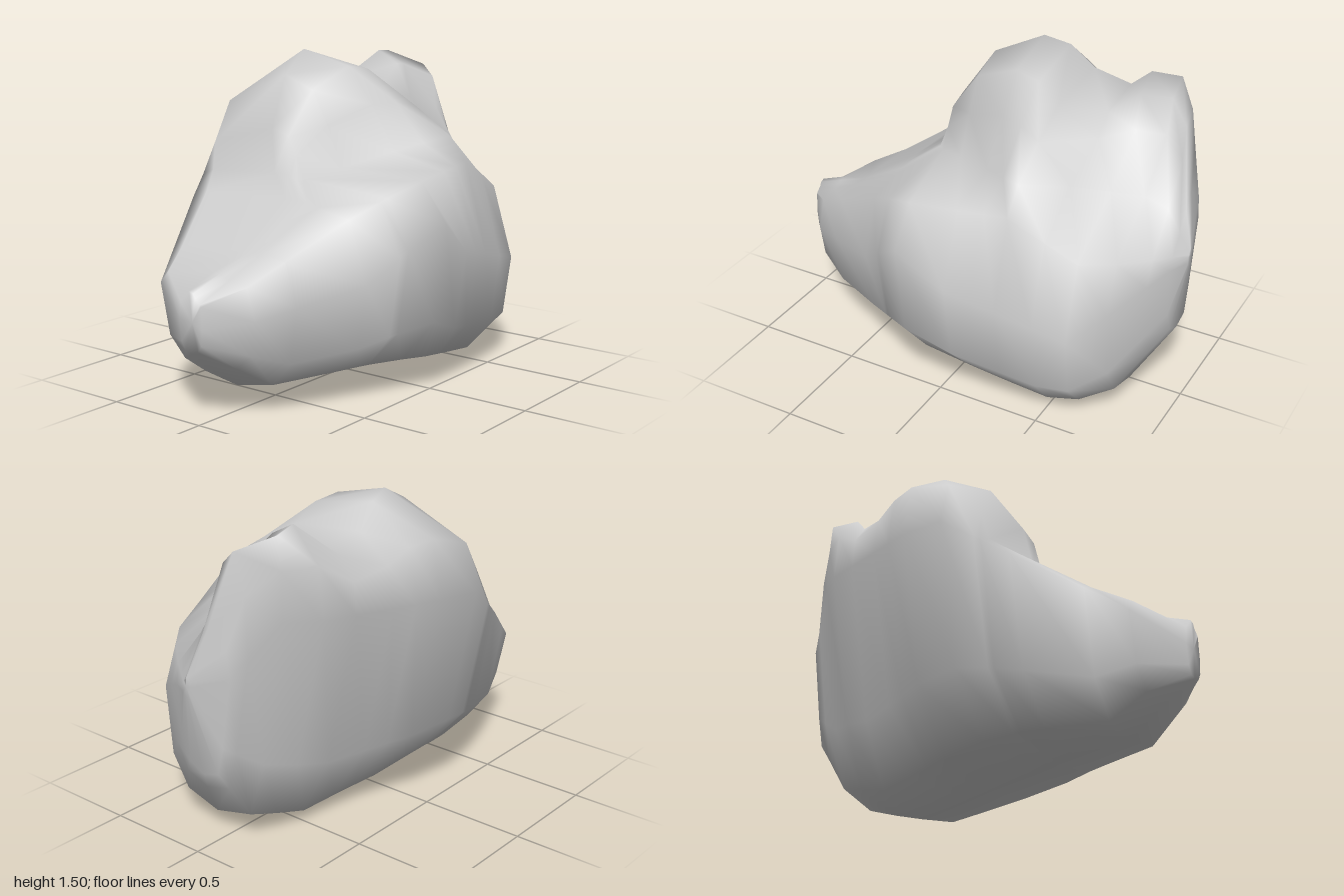
import * as THREE from 'three';

// Outline value along x, straight between a few [x, value] points
const outline = (...points) => (x) => {
  const i = Math.max(1, points.findIndex((p) => p[0] >= x));
  const [a, b] = [points[i - 1], points[i]];
  return THREE.MathUtils.mapLinear(x, a[0], b[0], a[1], b[1]);
};

// Skyline: low nose, steep-walled main hump, saddle, small side peak
const topY = outline([-1, 0.58], [-0.7, 0.7], [-0.3, 0.97], [-0.27, 1.17], [-0.12, 1.4], [0.1, 1.5],
  [0.22, 1.47], [0.33, 1.37], [0.5, 1.31], [0.65, 1.46], [0.78, 1.45], [0.89, 1.38], [0.95, 1.04], [1, 0.82]);
const topZ = outline([-1, -0.04], [-0.42, 0], [-0.27, -0.2], [0.1, -0.31], [0.5, -0.4], [0.65, -0.27], [0.8, -0.31], [1, 0.02]);
// Underside
const bottomY = outline([-1, 0.31], [-0.7, 0.09], [-0.2, 0.09], [0.5, 0], [0.78, 0.08], [0.95, 0.36], [1, 0.73]);
// Widest lines at the front and the back
const frontZ = outline([-1, 0.03], [-0.86, 0.2], [-0.42, 0.45], [-0.14, 0.66], [0.65, 0.53], [0.82, 0.35], [1, 0.05]);
const frontY = outline([-1, 0.42], [-0.42, 0.56], [-0.14, 0.82], [0.1, 0.64], [0.65, 0.5], [1, 0.78]);
const backZ = outline([-1, -0.1], [-0.87, -0.34], [-0.33, -0.6], [-0.05, -0.67], [0.65, -0.43], [0.95, -0.18], [1, 0]);
const backY = outline([-1, 0.45], [-0.1, 1.05], [0.78, 1.08], [1, 0.78]);
// Front ridge, and the valley behind it running diagonally along the foot of the hump
const ridgeY = outline([-1, 0.52], [-0.16, 0.98], [0.33, 1], [0.65, 0.84], [1, 0.79]);
const footZ = outline([-1, 0.02], [-0.42, 0.18], [-0.28, -0.02], [0.33, 0.37], [0.5, 0.22], [0.78, 0.04], [1, 0.04]);
const footY = outline([-1, 0.53], [-0.28, 0.95], [0.33, 1.12], [0.88, 1], [1, 0.8]);
// How far back the slope above the foot leans: full on the hump, hollow on the side peak
const lean = outline([-1, 0.45], [-0.27, 0.25], [0.33, 0.25], [0.65, 0.6], [1, 0.6]);

// Closed cross-section at one x, with rounded corners between the outlines
function section(x) {
  const mix = (a, b, tz, ty) => [a[0] + (b[0] - a[0]) * tz, a[1] + (b[1] - a[1]) * ty];
  const front = [frontZ(x), frontY(x)];
  const back = [backZ(x), backY(x)];
  const top = [topZ(x), topY(x)];
  const foot = [footZ(x), footY(x)];
  const bottom = [(front[0] + back[0]) / 2 + 0.08 * (1 - x * x) * (1 + x), bottomY(x)];
  return [
    bottom,
    mix(bottom, front, 0.6, 0.1),
    mix(bottom, front, 0.9, 0.38),
    front,
    [front[0] * 0.8, ridgeY(x)],
    foot,
    mix(foot, top, lean(x), 0.47),
    mix(foot, top, 0.35 + 0.6 * lean(x), 0.85),
    top,
    mix(top, back, 0.85, 0.4),
    back,
    mix(bottom, back, 0.82 - 0.15 * Math.max(0, x), 0.32),
    mix(bottom, back, 0.5, 0.05),
  ].map(([z, y]) => new THREE.Vector3(x, y, z));
}

// Joins the cross-sections into a closed, smooth-shaded skin
function loft(rings) {
  const n = rings[0].length;
  const points = rings.flat();
  const index = [];
  for (let i = 0; i < rings.length - 1; i++) {
    for (let j = 0; j < n; j++) {
      const k = (j + 1) % n;
      const a = i * n + j, b = i * n + k, c = a + n, d = b + n;
      index.push(a, c, b, b, c, d);
    }
  }
  // End caps
  [[0, false], [rings.length - 1, true]].forEach(([r, flip]) => {
    const mid = new THREE.Vector3();
    rings[r].forEach((p) => mid.addScaledVector(p, 1 / n));
    const m = points.push(mid) - 1;
    for (let j = 0; j < n; j++) {
      const a = r * n + j, b = r * n + (j + 1) % n;
      index.push(m, flip ? b : a, flip ? a : b);
    }
  });
  const geometry = new THREE.BufferGeometry().setFromPoints(points);
  geometry.setIndex(index);
  geometry.computeVertexNormals();
  return geometry;
}

export function createModel() {
  const stone = new THREE.MeshStandardMaterial({ color: 0xcccccc });
  stone.name = 'stone grey';

  const stations = [-1, -0.86, -0.7, -0.42, -0.3, -0.27, -0.12, 0.1, 0.22, 0.33, 0.5, 0.65, 0.78, 0.89, 0.95, 1];
  const boulder = new THREE.Mesh(loft(stations.map(section)), stone);
  boulder.name = 'boulder';

  const group = new THREE.Group();
  group.name = 'rock';
  group.add(boulder);
  return group;
}
